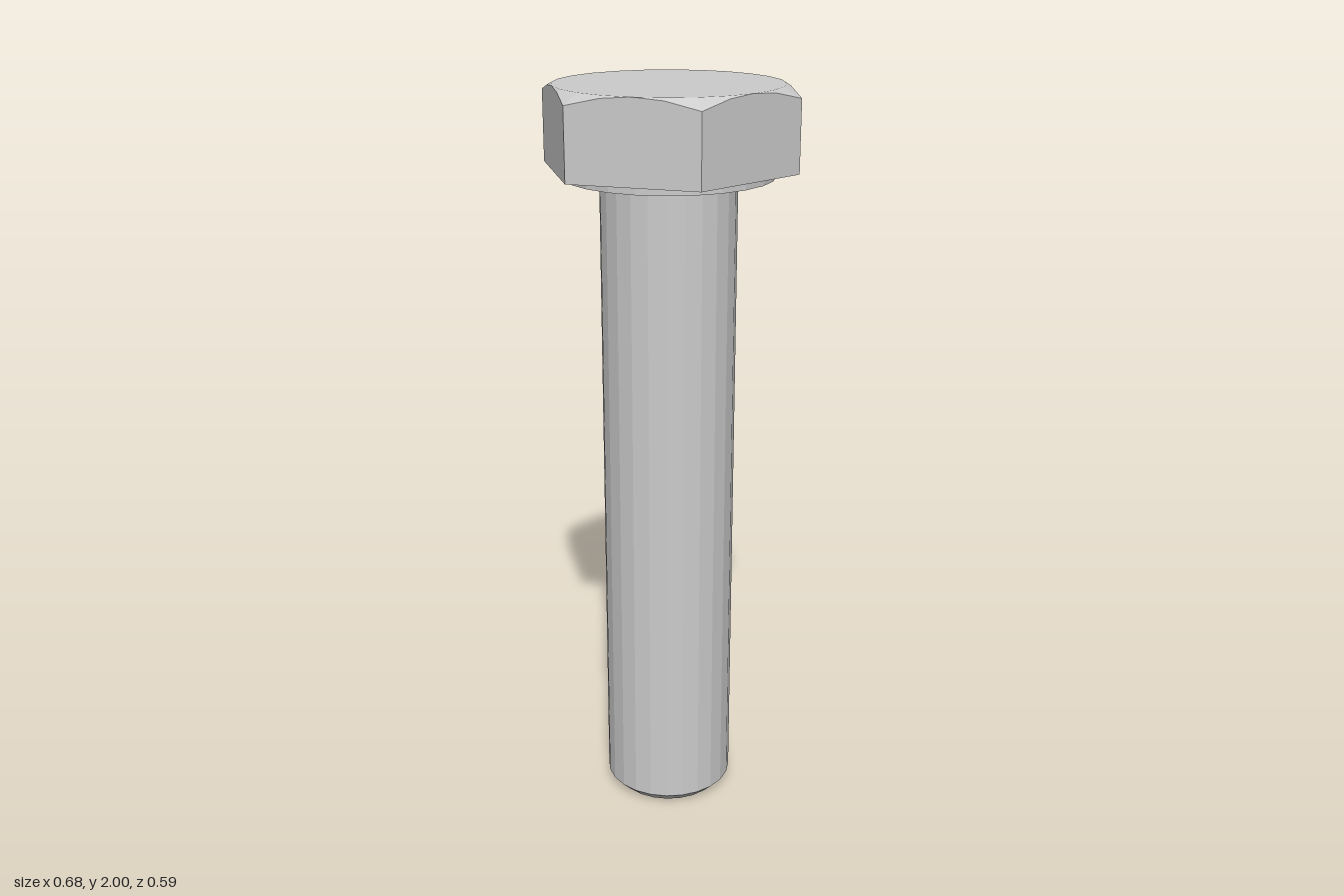
import * as THREE from 'three';

const SIDES = 24;
const APOTHEM = 0.293; // half the distance across the head's flats
const HEAD_BOTTOM = 1.79, HEAD_TOP = 2;

const material = new THREE.MeshStandardMaterial({ color: 0xcccccc, flatShading: true });

function part(name, geometry) {
  const flat = geometry.index ? geometry.toNonIndexed() : geometry;
  flat.computeVertexNormals();
  const mesh = new THREE.Mesh(flat, material);
  mesh.name = name;
  return mesh;
}

// Faceted turned part from [radius, height] pairs, listed upwards
function turned(name, profile) {
  return part(name, new THREE.LatheGeometry(profile.map(([r, y]) => new THREE.Vector2(r, y)), SIDES));
}

// Hexagonal head: flat sides cut by a 30 degree cone at the top
function headGeometry() {
  const hexRadius = (a) => APOTHEM / Math.cos((a % (Math.PI / 3)) - Math.PI / 6);
  const chamferY = (r) => HEAD_TOP - (r - APOTHEM) * Math.tan(Math.PI / 6);
  const rings = [
    () => [0, HEAD_BOTTOM],
    (a) => [hexRadius(a), HEAD_BOTTOM],
    (a) => [hexRadius(a), chamferY(hexRadius(a))],
    () => [APOTHEM, HEAD_TOP],
    () => [0, HEAD_TOP],
  ];
  const positions = [], index = [];
  rings.forEach((ring, k) => {
    for (let i = 0; i < SIDES; i++) {
      const a = (i / SIDES) * Math.PI * 2;
      const [r, y] = ring(a);
      positions.push(r * Math.cos(a), y, r * Math.sin(a));
      if (k === 0) continue;
      const j = (i + 1) % SIDES, low = (k - 1) * SIDES, high = k * SIDES;
      if (k < rings.length - 1) index.push(low + i, high + i, high + j);
      if (k > 1) index.push(low + i, high + j, low + j);
    }
  });
  const geometry = new THREE.BufferGeometry();
  geometry.setAttribute('position', new THREE.Float32BufferAttribute(positions, 3));
  geometry.setIndex(index);
  return geometry;
}

export function createModel() {
  const bolt = new THREE.Group();
  bolt.name = 'hexBolt';
  bolt.add(part('head', headGeometry()));
  // Thin bearing face under the head
  bolt.add(turned('washerFace', [[0.15, 1.77], [0.273, 1.77], [0.273, HEAD_BOTTOM]]));
  // Plain shank with a chamfered tip and a small fillet under the head
  bolt.add(turned('shank', [[0, 0], [0.147, 0], [0.177, 0.03], [0.177, 1.757], [0.181, 1.766], [0.19, 1.77]]));
  return bolt;
}
